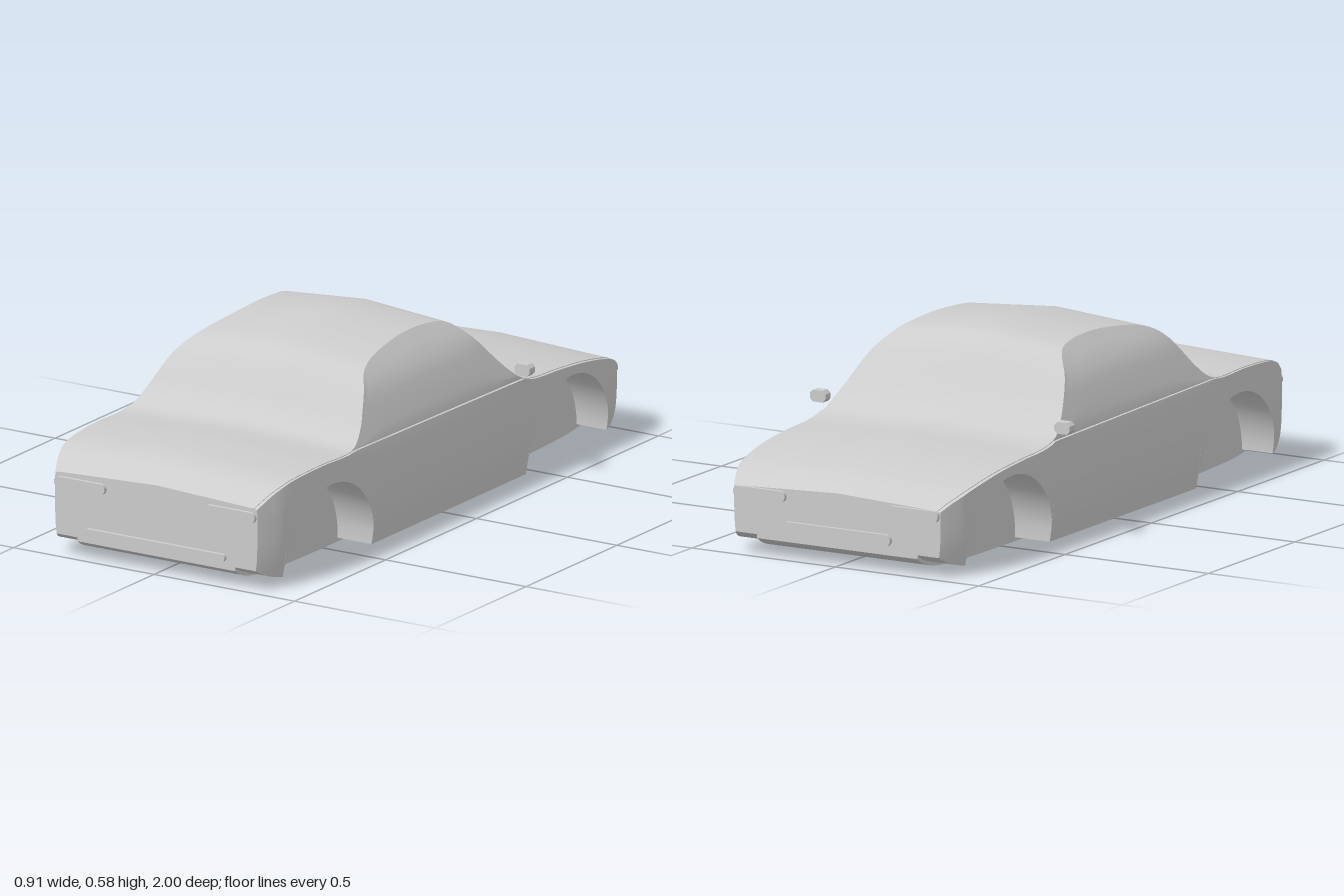
import * as THREE from 'three';
import { toCreasedNormals } from 'three/addons/utils/BufferGeometryUtils.js';

const END = 0.988, ARCH_Z = 0.657, ARCH_R = 0.233, ARCH_Y = 0.03, WELL_X = 0.28;

// Smooth interpolation through [position, value] pairs in ascending order
function curve(pts) {
  const slope = (i) => {
    const a = pts[Math.max(i - 1, 0)], b = pts[Math.min(i + 1, pts.length - 1)];
    return (b[1] - a[1]) / (b[0] - a[0]);
  };
  return (t) => {
    if (t <= pts[0][0]) return pts[0][1];
    if (t >= pts[pts.length - 1][0]) return pts[pts.length - 1][1];
    let i = 0;
    while (t > pts[i + 1][0]) i++;
    const h = pts[i + 1][0] - pts[i][0], u = (t - pts[i][0]) / h, u2 = u * u, u3 = u2 * u;
    return (2 * u3 - 3 * u2 + 1) * pts[i][1] + (u3 - 2 * u2 + u) * h * slope(i)
      + (3 * u2 - 2 * u3) * pts[i + 1][1] + (u3 - u2) * h * slope(i + 1);
  };
}

// Centre line of the upper surface, by z
const topLine = curve([
  [-0.99, 0.222], [-0.95, 0.245], [-0.88, 0.272], [-0.75, 0.298], [-0.6, 0.313], [-0.47, 0.32],
  [-0.4, 0.336], [-0.35, 0.37], [-0.3, 0.42], [-0.25, 0.48], [-0.2, 0.535], [-0.16, 0.562],
  [-0.1, 0.574], [0, 0.58], [0.1, 0.576], [0.25, 0.558], [0.32, 0.538], [0.36, 0.51], [0.41, 0.45],
  [0.45, 0.4], [0.5, 0.358], [0.55, 0.344], [0.7, 0.346], [0.85, 0.337], [0.92, 0.318],
  [0.96, 0.295], [0.99, 0.274]]);
// Half width of the cabin and of the lower body, by y
const cabinWidth = curve([[0.33, 0.4], [0.4, 0.373], [0.475, 0.34], [0.515, 0.308], [0.555, 0.27]]);
const sideWidth = curve([[0.01, 0.4], [0.1, 0.413], [0.2, 0.415], [0.26, 0.414], [0.33, 0.408]]);
// Narrowing towards both ends, and the rise of the underside, by distance from the middle
const taper = curve([[0, 1], [0.6, 1], [0.8, 0.985], [0.9, 0.955], [0.96, 0.9], [0.99, 0.865]]);
const floorLine = curve([[0, 0], [0.6, 0.002], [0.8, 0.008], [0.9, 0.018], [0.96, 0.036], [0.99, 0.055]]);

// One closed cross-section of the body shell
function section(z, inArch) {
  const d = Math.abs(z), scale = taper(d), top = topLine(z), floor = floorLine(d);
  const edgeY = top - (0.015 + 0.008 * THREE.MathUtils.smoothstep(top, 0.35, 0.55));
  const shoulder = Math.min(edgeY - 0.002, 0.323 + 0.015 * z);
  let bottom = floor + 0.012;
  if (inArch) {
    const u = (d - ARCH_Z) / ARCH_R;
    bottom = Math.max(bottom, ARCH_Y + ARCH_R * Math.sqrt(Math.max(0, 1 - u * u)));
  }
  const half = [];
  for (let i = 0; i < 4; i++) { // roof, hood or deck
    half.push([cabinWidth(edgeY) * scale * i / 4, top + (edgeY - top) * i / 4]);
  }
  for (let i = 0; i <= 6; i++) { // cabin side
    const y = edgeY + (shoulder - edgeY) * i / 6;
    half.push([cabinWidth(y) * scale, y]);
  }
  for (let i = 0; i <= 7; i++) { // lower body side
    const y = shoulder + (bottom - shoulder) * i / 7;
    half.push([sideWidth(y) * scale, y]);
  }
  half.push([WELL_X, bottom], [WELL_X, floor], [0, floor]); // wheel well and floor
  const mirrored = half.slice(1, -1).reverse().map(([x, y]) => [-x, y]);
  return [...half, ...mirrored].map(([x, y]) => [x, y, z]);
}

function bodyGeometry() {
  const rings = [];
  const span = (from, to, n, inArch) => {
    for (let i = 0; i <= n; i++) {
      const u = inArch ? (1 - Math.cos(Math.PI * i / n)) / 2 : i / n;
      rings.push(section(from + (to - from) * u, inArch));
    }
  };
  const outer = ARCH_Z + ARCH_R, inner = ARCH_Z - ARCH_R;
  span(END, outer, 8, false);
  span(outer, inner, 28, true);
  span(inner, -inner, 48, false);
  span(-inner, -outer, 28, true);
  span(-outer, -END, 8, false);

  const pos = [];
  const tri = (a, b, c) => pos.push(...a, ...b, ...c);
  const n = rings[0].length, last = rings[rings.length - 1];
  for (let j = 0; j < n; j++) {
    const k = (j + 1) % n;
    for (let i = 0; i < rings.length - 1; i++) {
      const p = rings[i], q = rings[i + 1];
      tri(p[j], p[k], q[j]);
      tri(p[k], q[k], q[j]);
    }
    tri([0, 0.15, END], rings[0][k], rings[0][j]); // end panels
    tri([0, 0.15, -END], last[j], last[k]);
  }
  const geo = new THREE.BufferGeometry();
  geo.setAttribute('position', new THREE.Float32BufferAttribute(pos, 3));
  return toCreasedNormals(geo, 0.6);
}

// Bar with rounded ends, centred on its own origin
function barGeometry(width, height, depth) {
  const r = height / 2, s = new THREE.Shape();
  s.absarc(width / 2 - r, 0, r, -Math.PI / 2, Math.PI / 2, false);
  s.absarc(-width / 2 + r, 0, r, Math.PI / 2, Math.PI * 1.5, false);
  const geo = new THREE.ExtrudeGeometry(s, { depth, bevelEnabled: false, curveSegments: 8 });
  return geo.translate(0, 0, -depth / 2);
}

// Mirror housing with cut corners
function mirrorGeometry(w, h, c, depth) {
  const s = new THREE.Shape([
    [w - c, -h], [w, -h + c], [w, h - c], [w - c, h],
    [-w + c, h], [-w, h - c], [-w, -h + c], [-w + c, -h],
  ].map(([x, y]) => new THREE.Vector2(x, y)));
  return new THREE.ExtrudeGeometry(s, { depth, bevelEnabled: false }).translate(0, 0, -depth / 2);
}

export function createModel() {
  const grey = new THREE.MeshStandardMaterial({ color: 0xcccccc });
  grey.name = 'bodyGrey';
  const model = new THREE.Group();
  model.name = 'carBody';
  const add = (name, geo, x, y, z) => {
    const mesh = new THREE.Mesh(geo, grey);
    mesh.name = name;
    mesh.position.set(x, y, z);
    model.add(mesh);
  };

  add('bodyShell', bodyGeometry(), 0, 0, 0);

  // Bumper bars on both ends
  add('frontBar', barGeometry(0.5, 0.024, 0.02), 0, 0.09, 0.99);
  add('rearBar', barGeometry(0.38, 0.036, 0.02), 0, 0.1, -0.99);

  // Lamps and mirrors on both sides
  const lamp = barGeometry(0.18, 0.034, 0.02);
  const mirror = mirrorGeometry(0.027, 0.018, 0.01, 0.03);
  for (const [side, s] of [['left', 1], ['right', -1]]) {
    add(side + 'FrontLamp', lamp, s * 0.267, 0.232, 0.99);
    add(side + 'RearLamp', lamp, s * 0.267, 0.192, -0.99);
    add(side + 'Mirror', mirror, s * 0.426, 0.357, -0.38);
  }
  return model;
}
